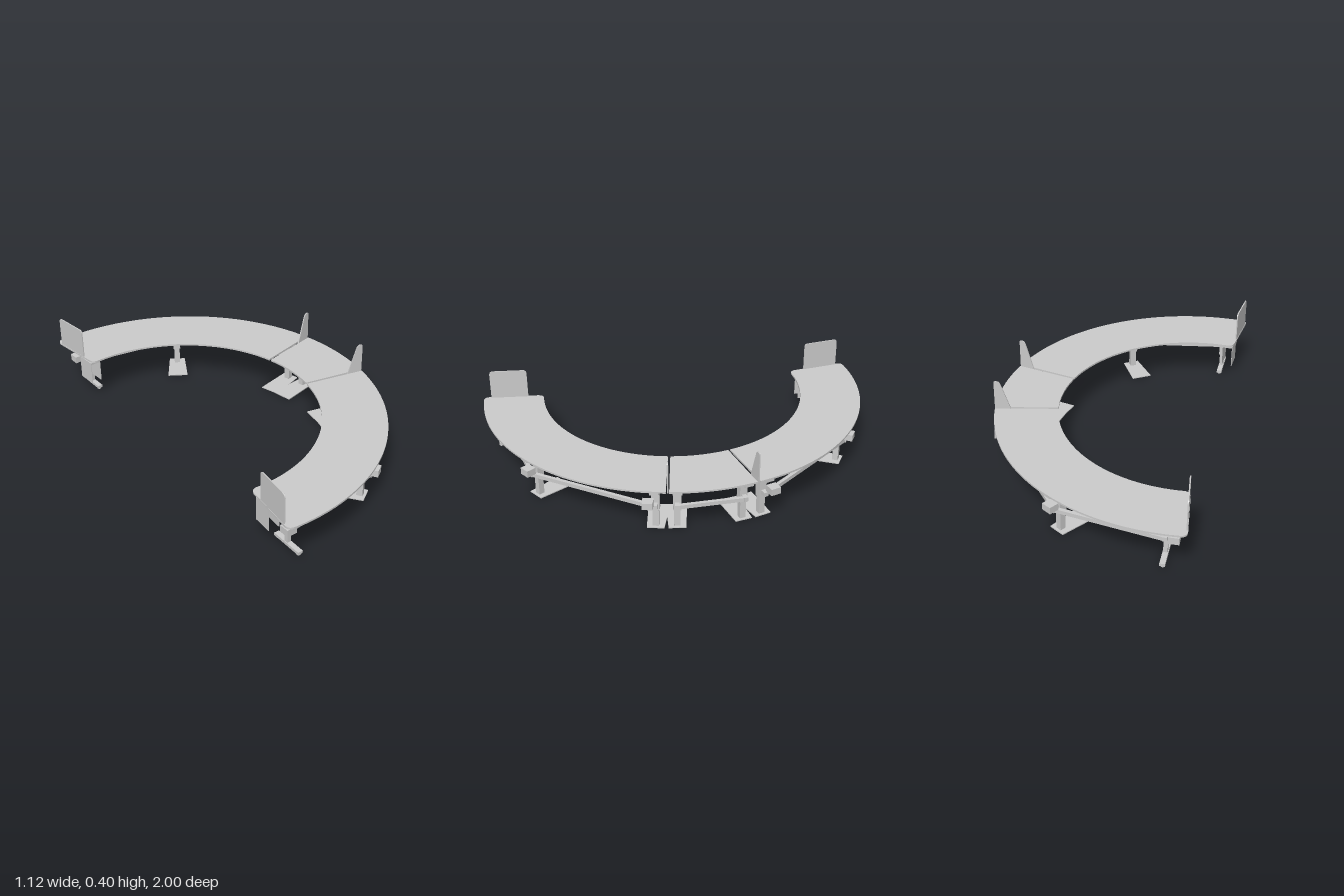
import * as THREE from 'three';

const CX = -0.44, R_OUT = 1.0, R_IN = 0.685, TOP = 0.242;
const rad = THREE.MathUtils.degToRad;
const mat = new THREE.MeshStandardMaterial({ color: 0xcccccc, side: THREE.DoubleSide });

function add(parent, name, geo, x = 0, y = 0, z = 0) {
  const m = new THREE.Mesh(geo, mat);
  m.name = name;
  m.position.set(x, y, z);
  parent.add(m);
  return m;
}
const box = (w, h, d) => new THREE.BoxGeometry(w, h, d);
const polar = (a, r) => new THREE.Vector3(CX + r * Math.cos(a), 0, r * Math.sin(a));

// Group on the arc: local +x points outward, local +z towards larger angles
function radialGroup(parent, name, a, r) {
  const g = new THREE.Group();
  g.name = name;
  g.position.copy(polar(a, r));
  g.rotation.y = -a;
  parent.add(g);
  return g;
}

// Straight bar between two points
function bar(parent, name, p, q, y, h, d) {
  const m = add(parent, name, box(p.distanceTo(q), h, d));
  m.position.copy(p).add(q).multiplyScalar(0.5).setY(y);
  m.rotation.y = -Math.atan2(q.z - p.z, q.x - p.x);
}

// Ring sector desktop; the end at a1 can have rounded corners
function desktop(parent, name, a0, a1, rounded) {
  const s = Math.sign(a1 - a0), c = rounded ? 0.035 : 0;
  const P = (r, a) => [r * Math.cos(a), r * Math.sin(a)];
  const aOut = a1 - s * c / R_OUT, aIn = a1 - s * c / R_IN;
  const sh = new THREE.Shape();
  sh.moveTo(...P(R_IN, a0));
  sh.lineTo(...P(R_OUT, a0));
  sh.absarc(0, 0, R_OUT, a0, aOut, s < 0);
  if (rounded) sh.quadraticCurveTo(...P(R_OUT, a1), ...P(R_OUT - c, a1));
  sh.lineTo(...P(R_IN + c, a1));
  if (rounded) sh.quadraticCurveTo(...P(R_IN, a1), ...P(R_IN, aIn));
  sh.absarc(0, 0, R_IN, aIn, a0, s > 0);
  const geo = new THREE.ExtrudeGeometry(sh, { depth: 0.009, bevelEnabled: false, curveSegments: 48 });
  geo.rotateX(Math.PI / 2);
  add(parent, name, geo, CX, TOP, 0);
}

// Upright panel in the radial plane, outlined in (radius, height)
function panel(parent, name, a, shape) {
  const geo = new THREE.ExtrudeGeometry(shape, { depth: 0.006, bevelEnabled: false, curveSegments: 8 });
  geo.translate(0, 0, -0.003);
  add(radialGroup(parent, name + 'Group', a, 0), name, geo);
}

function endPanelShape() {
  const sh = new THREE.Shape(), a = 0.768, b = 0.962, t = 0.395, c = 0.02;
  sh.moveTo(a, 0.235);
  sh.lineTo(b, 0.235);
  sh.lineTo(b, t - c);
  sh.quadraticCurveTo(b, t, b - c, t);
  sh.lineTo(a + c, t);
  sh.quadraticCurveTo(a, t, a, t - c);
  return sh;
}

function finShape() {
  const sh = new THREE.Shape();
  sh.moveTo(0.92, 0.235);
  sh.lineTo(1.0, 0.235);
  sh.lineTo(1.0, 0.385);
  sh.quadraticCurveTo(1.0, 0.393, 0.992, 0.393);
  sh.lineTo(0.985, 0.393);
  sh.quadraticCurveTo(0.972, 0.393, 0.966, 0.375);
  return sh;
}

// Flat tapered foot, wider towards the inside of the arc
function footPlate(d) {
  const sh = new THREE.Shape();
  sh.moveTo(0.028, -0.042);
  sh.lineTo(0.028, 0.042);
  sh.lineTo(-d, 0.053);
  sh.lineTo(-d, -0.053);
  const geo = new THREE.ExtrudeGeometry(sh, { depth: 0.005, bevelEnabled: false });
  return geo.rotateX(Math.PI / 2).translate(0, 0.005, 0);
}

// Telescopic leg with foot, support arm and beam bracket
function leg(parent, name, a, r, o) {
  const g = radialGroup(parent, name, a, r);
  const w = o.bar ? 0.02 : 0.03;
  if (o.bar) {
    add(g, 'footBar', box(0.17, 0.014, 0.026), 0.005, 0.021, 0);
    for (const x of [-0.068, 0.078]) add(g, 'footPad', new THREE.CylinderGeometry(0.01, 0.01, 0.008, 12), x, 0.011, 0);
  } else {
    add(g, 'footPlate', footPlate(o.plate));
  }
  const base = o.bar ? 0.02 : 0.003;
  add(g, 'lowerColumn', box(w, 0.14, w), 0, base + 0.07, 0);
  add(g, 'upperColumn', box(w + 0.008, 0.125, w + 0.008), 0, 0.1575, 0);
  add(g, 'supportArm', box(0.2, 0.013, 0.045), -0.02, 0.226, 0);
  add(g, 'armRib', box(0.11, 0.012, 0.03), -0.01, 0.214, 0);
  add(g, 'beamBracket', box(0.05, 0.022, 0.022), 0.025, 0.13, 0);
  if (o.box !== undefined) add(g, 'cableBox', box(0.05, 0.035, 0.052), 0.06, 0.157, o.box);
}

// U-shaped holder hanging below the free end of the desk
function holder(parent, s) {
  const g = new THREE.Group();
  g.name = 'underDeskHolder';
  g.position.set(-0.497, 0, s * 0.765);
  g.rotation.y = s * rad(-4);
  parent.add(g);
  for (const x of [-0.027, 0.027]) add(g, 'holderPlate', box(0.003, 0.12, 0.1), x, 0.158, 0);
  add(g, 'holderTop', box(0.056, 0.01, 0.1), 0, 0.213, 0);
  for (const z of [-0.03, 0.03]) add(g, 'holderHanger', box(0.04, 0.018, 0.015), 0, 0.225, z);
}

function sideDesk(root, s) {
  const g = new THREE.Group();
  g.name = s > 0 ? 'frontDesk' : 'backDesk';
  root.add(g);
  desktop(g, 'desktop', s * rad(13), s * rad(97.2), true);
  panel(g, 'endPanel', s * rad(96.9), endPanelShape());
  panel(g, 'seamFin', s * rad(12.5), finShape());
  holder(g, s);

  const spots = [
    { name: 'endLeg', a: 90.7, r: 0.85, bar: true, box: s * 0.045 },
    { name: 'middleLeg', a: 57.5, r: 0.912, plate: 0.15, box: 0 },
    { name: 'seamLeg', a: 16.2, r: 0.916, plate: 0.17, box: s * 0.032 },
  ];
  spots.forEach((p) => leg(g, p.name, s * rad(p.a), p.r, p));
  // Beams and rails run straight from leg to leg
  for (let i = 0; i < 2; i++) {
    const [p, q] = [spots[i], spots[i + 1]];
    const at = (k, off) => polar(s * rad(k.a), k.r + off);
    bar(g, 'lowerBeam', at(p, 0.04), at(q, 0.04), 0.13, 0.02, 0.018);
    bar(g, 'topRail', at(p, 0), at(q, 0), 0.223, 0.014, 0.022);
  }
}

function centreDesk(root) {
  const g = new THREE.Group();
  g.name = 'centreDesk';
  root.add(g);
  desktop(g, 'desktop', rad(-12.1), rad(12.1), false);
  const a = rad(9.9), r = 0.914;
  for (const s of [-1, 1]) leg(g, 'centreLeg', s * a, r, { plate: 0.17 });
  bar(g, 'lowerBeam', polar(-a, r + 0.04), polar(a, r + 0.04), 0.13, 0.02, 0.018);
  bar(g, 'topRail', polar(-a, r), polar(a, r), 0.223, 0.014, 0.022);
  add(g, 'controlBox', box(0.05, 0.012, 0.08), 0.42, 0.227, 0);
}

export function createModel() {
  const root = new THREE.Group();
  root.name = 'curvedDesk';
  centreDesk(root);
  for (const s of [1, -1]) sideDesk(root, s);
  return root;
}
